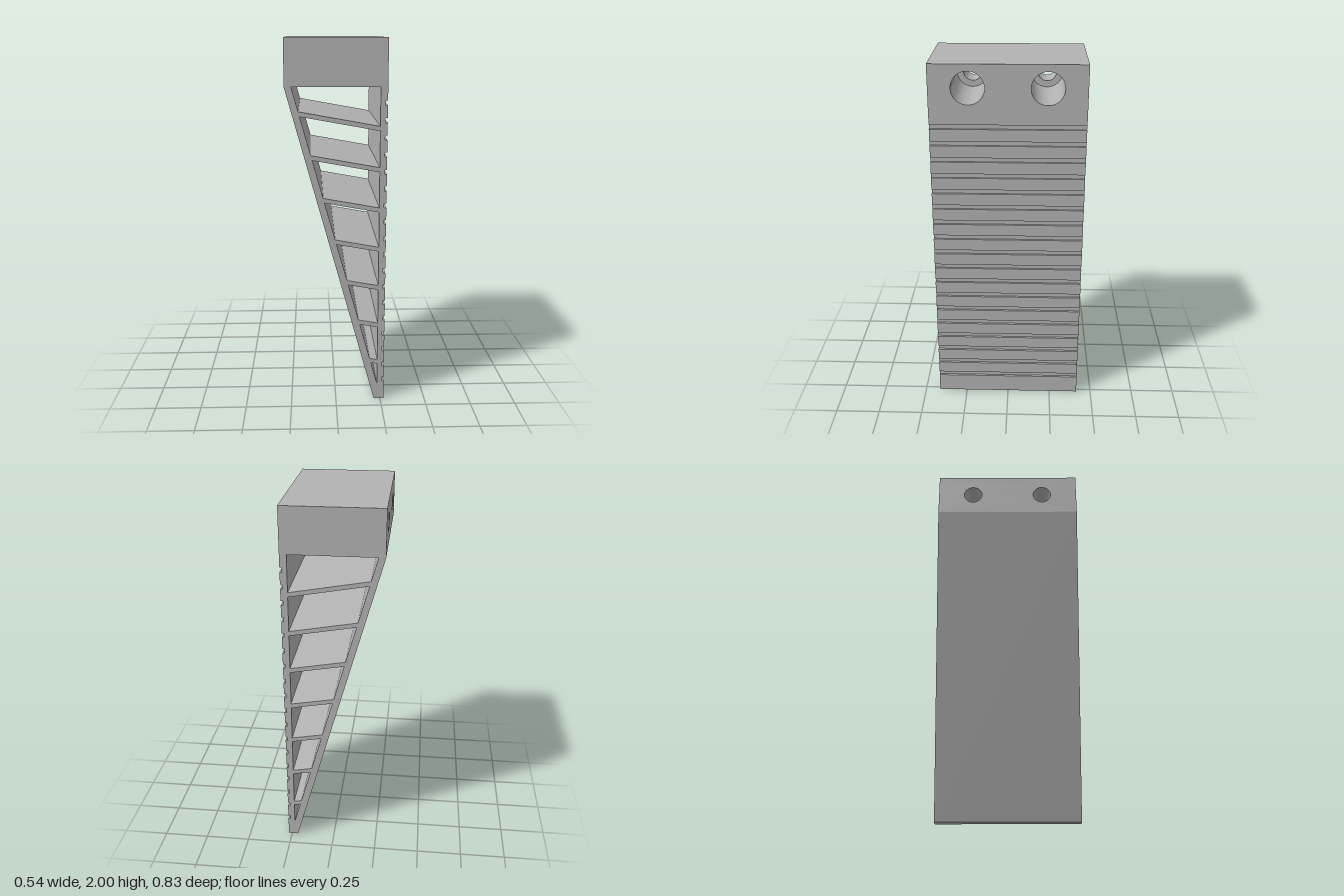
import * as THREE from 'three';
import { toCreasedNormals } from 'three/addons/utils/BufferGeometryUtils.js';

const HALF_X = 0.27, HALF_Z = 0.415, SHOULDER = 1.75, TOP = 2;
const WALL_X = 0.232;          // inner face of the grooved wall
const TIP_Y = 0.09;            // where both walls meet
const LEAN = 0.28, RIB_SLOPE = 0.18, RIB_THICK = 0.025;

// Where a sloped rib edge starting at height y on the grooved wall meets the slanted wall
function slantPoint(y) {
  const s = LEAN * (y - TIP_Y) / (1 - LEAN * RIB_SLOPE);
  return [WALL_X - s, y + RIB_SLOPE * s];
}

function toPoints(list) {
  return list.map(([x, y]) => new THREE.Vector2(x, y));
}

// Ribbed wedge: side profile extruded along z
function wedgeGeometry() {
  const ribTops = Array.from({ length: 7 }, (_, i) => 1.546 - i * 0.2185);

  const outline = [[0.215, 0], [HALF_X, 0]];
  for (let i = 0; i < 18; i++) {            // grip grooves
    const y = 0.105 + i * 0.0912;
    outline.push([HALF_X, y], [HALF_X - 0.012, y], [HALF_X - 0.012, y + 0.025], [HALF_X, y + 0.025]);
  }
  // Uppermost cell is open to the block above
  outline.push([HALF_X, SHOULDER], [WALL_X, SHOULDER], [WALL_X, ribTops[0]], slantPoint(ribTops[0]),
    [WALL_X - LEAN * (SHOULDER - TIP_Y), SHOULDER], [-HALF_X, SHOULDER]);
  const shape = new THREE.Shape(toPoints(outline));

  // Cells between the ribs, the last one a triangle
  ribTops.forEach((top, i) => {
    const ceiling = top - RIB_THICK;
    const cell = [[WALL_X, ceiling], slantPoint(ceiling)];
    if (i < ribTops.length - 1) cell.push(slantPoint(ribTops[i + 1]), [WALL_X, ribTops[i + 1]]);
    else cell.push([WALL_X, TIP_Y]);
    shape.holes.push(new THREE.Path(toPoints(cell)));
  });

  const geometry = new THREE.ExtrudeGeometry(shape, { depth: 2 * HALF_Z, bevelEnabled: false });
  return geometry.translate(0, 0, -HALF_Z);
}

// Slice of the mounting block from x0 to x1 with two round holes
function blockGeometry(x0, x1, radius) {
  const shape = new THREE.Shape(toPoints([
    [-HALF_Z, SHOULDER], [HALF_Z, SHOULDER], [HALF_Z, TOP], [-HALF_Z, TOP]]));
  for (const side of [-1, 1]) {
    shape.holes.push(new THREE.Path().absarc(side * 0.208, 1.875, radius, 0, Math.PI * 2, true));
  }
  const geometry = new THREE.ExtrudeGeometry(shape, { depth: x1 - x0, bevelEnabled: false, curveSegments: 40 });
  geometry.rotateY(Math.PI / 2).translate(x0, 0, 0);
  return toCreasedNormals(geometry, 0.5);
}

export function createModel() {
  const grey = new THREE.MeshStandardMaterial({ color: 0xb2b2b2 });
  grey.name = 'grey plastic';

  const model = new THREE.Group();
  model.name = 'ribbedGripperFinger';
  const add = (name, geometry) => {
    const mesh = new THREE.Mesh(geometry, grey);
    mesh.name = name;
    model.add(mesh);
  };

  add('ribbedWedge', wedgeGeometry());
  const shelf = -0.12;                      // bottom of the counterbores
  add('mountingBlockScrewSide', blockGeometry(-HALF_X, shelf, 0.053));
  add('mountingBlockCounterbores', blockGeometry(shelf, HALF_X, 0.088));
  return model;
}
